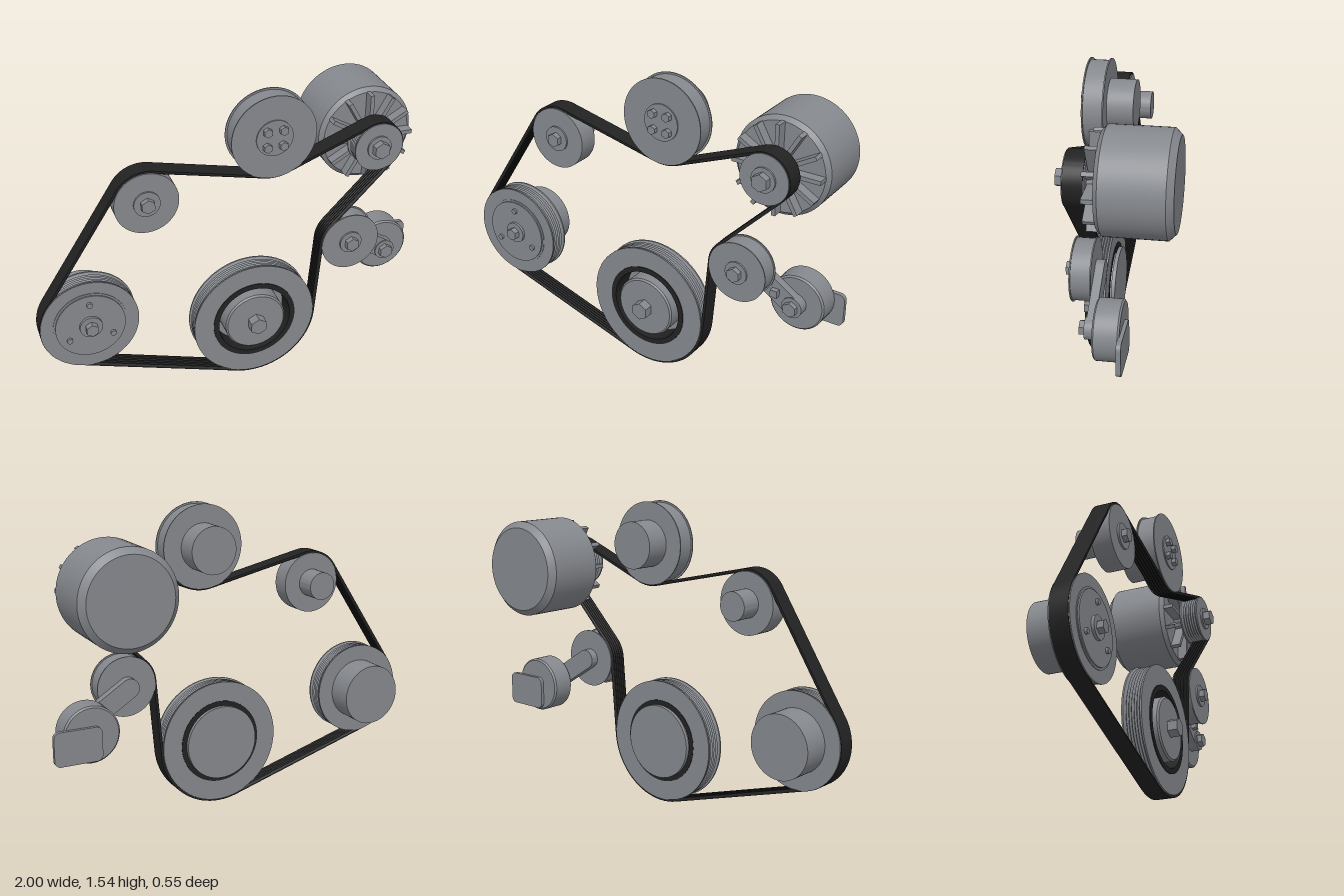
import * as THREE from 'three';
import { toCreasedNormals } from 'three/addons/utils/BufferGeometryUtils.js';

const metal = new THREE.MeshStandardMaterial({ color: 0x85888d });
metal.name = 'grey metal';
const rubber = new THREE.MeshStandardMaterial({ color: 0x222222 });
rubber.name = 'black rubber';

const BACK = 0.109, FRONT = 0.208; // depth range of every pulley

function addMesh(parent, name, geometry, material = metal) {
  const mesh = new THREE.Mesh(geometry, material);
  mesh.name = name;
  parent.add(mesh);
  return mesh;
}

// Turned part around the z axis; profile is [radius, z] from back to front
function turned(parent, name, profile, material = metal) {
  const g = new THREE.LatheGeometry(profile.map(p => new THREE.Vector2(p[0], p[1])), 64);
  g.rotateX(Math.PI / 2);
  return addMesh(parent, name, toCreasedNormals(g, 0.4), material);
}

// Solid disc or shaft with optional chamfers at its two ends
function disc(parent, name, r, z0, z1, back = 0, front = 0) {
  const p = [[0, z0], [r - back, z0]];
  if (back) p.push([r, z0 + back]);
  if (front) p.push([r, z1 - front]);
  p.push([r - front, z1], [0, z1]);
  return turned(parent, name, p);
}

function hexBolt(parent, name, r, z0, z1, x = 0, y = 0) {
  const g = new THREE.CylinderGeometry(r, r, z1 - z0, 6).toNonIndexed();
  g.computeVertexNormals();
  g.rotateX(Math.PI / 2);
  return addMesh(parent, name, g).position.set(x, y, (z0 + z1) / 2);
}

// Rim with six V grooves, as profile points
function groovedRim(r) {
  const p = [[r, BACK], [r, BACK + 0.008]];
  const z0 = BACK + 0.01, step = (FRONT - BACK - 0.02) / 6;
  for (let i = 0; i < 6; i++) {
    p.push([r - 0.004, z0 + i * step], [r - 0.016, z0 + (i + 0.5) * step]);
  }
  p.push([r - 0.004, z0 + 6 * step], [r, FRONT - 0.008], [r, FRONT]);
  return p;
}

// Flat drum between two thin flanges, as profile points
function flangedRim(r, depth) {
  const d = r - depth;
  return [[r, BACK], [r, BACK + 0.006], [d, BACK + 0.006], [d, FRONT - 0.006], [r, FRONT - 0.006], [r, FRONT]];
}

function pulley(parent, rim) {
  return turned(parent, 'pulley', [[0, BACK], ...rim, [0, FRONT]]);
}

function station(parent, name, x, y) {
  const g = new THREE.Group();
  g.name = name;
  g.position.set(x, y, 0);
  parent.add(g);
  return g;
}

// Belt: tangent lines and arcs around signed radii (negative = belt runs on its back)
function beltGeometry(stops) {
  const n = stops.length;
  const heading = stops.map((a, i) => {
    const b = stops[(i + 1) % n];
    const dx = b.x - a.x, dy = b.y - a.y;
    return Math.atan2(dy, dx) - Math.asin((a.r - b.r) / Math.hypot(dx, dy));
  });
  const path = [];
  stops.forEach((s, i) => {
    const from = heading[(i + n - 1) % n];
    let turn = (heading[i] - from) % (2 * Math.PI);
    if (s.r > 0 && turn > 0) turn -= 2 * Math.PI;
    if (s.r < 0 && turn < 0) turn += 2 * Math.PI;
    const steps = Math.max(3, Math.ceil(Math.abs(turn) / 0.08));
    for (let k = 0; k <= steps; k++) {
      const a = from + turn * k / steps;
      const nx = -Math.sin(a), ny = Math.cos(a);
      path.push({ x: s.x + nx * s.r, y: s.y + ny * s.r, nx, ny });
    }
  });
  // Cross-section: flat back, six ribs on the inner face
  const z0 = 0.114, z1 = 0.203, w = (z1 - z0) / 6;
  const section = [[0, z0], [0, z1]];
  for (let i = 0; i < 6; i++) {
    const z = z1 - i * w;
    section.push([-0.008, z], [-0.016, z - w * 0.35], [-0.016, z - w * 0.65]);
  }
  section.push([-0.008, z0]);
  const m = section.length, pos = [], index = [];
  path.forEach((p, i) => {
    const next = (i + 1) % path.length;
    section.forEach(([o, z], k) => {
      pos.push(p.x + p.nx * o, p.y + p.ny * o, z);
      const k1 = (k + 1) % m;
      const a = i * m + k, b = i * m + k1, c = next * m + k1, d = next * m + k;
      index.push(a, b, c, a, c, d);
    });
  });
  const g = new THREE.BufferGeometry();
  g.setAttribute('position', new THREE.Float32BufferAttribute(pos, 3));
  g.setIndex(index);
  return toCreasedNormals(g, 0.4);
}

export function createModel() {
  const model = new THREE.Group();
  model.name = 'beltDrive';

  // Crankshaft damper: grooved ring, rubber liner, separate hub
  const crank = station(model, 'crankDamper', 0.067, 0.326);
  turned(crank, 'damperRing', [[0.212, BACK], ...groovedRim(0.313), [0.212, FRONT], [0.212, BACK]]);
  turned(crank, 'rubberRing', [[0.187, 0.107], [0.214, 0.107], [0.214, 0.212], [0.187, 0.212], [0.187, 0.107]], rubber);
  disc(crank, 'hubPlate', 0.19, 0.083, 0.102);
  disc(crank, 'hub', 0.155, 0.1, 0.228, 0, 0.008);
  hexBolt(crank, 'hubBolt', 0.045, 0.225, 0.277);

  // Compressor with clutch plate
  const comp = station(model, 'compressor', -0.76, 0.49);
  pulley(comp, groovedRim(0.238));
  disc(comp, 'compressorBody', 0.157, -0.03, 0.112);
  disc(comp, 'clutchRim', 0.179, 0.2, 0.211);
  disc(comp, 'clutchPlate', 0.169, 0.2, 0.218);
  disc(comp, 'clutchHub', 0.055, 0.21, 0.232);
  hexBolt(comp, 'clutchBolt', 0.032, 0.23, 0.262);
  for (let i = 0; i < 3; i++) {
    const a = Math.PI / 2 + i * Math.PI * 2 / 3;
    disc(comp, 'clutchRivet', 0.014, 0.215, 0.23).position.set(0.122 * Math.cos(a), 0.122 * Math.sin(a), 0);
  }

  // Idler
  const idler = station(model, 'idler', -0.46, 1.1);
  pulley(idler, [[0.153, BACK], [0.153, FRONT]]);
  disc(idler, 'idlerMount', 0.07, 0, 0.112);
  disc(idler, 'idlerWasher', 0.063, 0.2, 0.217);
  hexBolt(idler, 'idlerBolt', 0.035, 0.215, 0.243);

  // Water pump with four bolts
  const pump = station(model, 'waterPump', 0.152, 1.334);
  pulley(pump, flangedRim(0.208, 0.009));
  disc(pump, 'pumpBody', 0.117, -0.013, 0.112);
  disc(pump, 'pumpHub', 0.09, 0.2, 0.214);
  for (const x of [-1, 1]) for (const y of [-1, 1]) hexBolt(pump, 'pumpBolt', 0.022, 0.21, 0.236, x * 0.039, y * 0.039);

  // Alternator with radial fan blades
  const alt = station(model, 'alternator', 0.685, 1.195);
  disc(alt, 'alternatorBody', 0.24, -0.277, 0.055, 0.03, 0.02);
  for (let i = 0; i < 12; i++) {
    const blade = new THREE.BoxGeometry(0.17, 0.02, 0.055);
    blade.translate(0.137, 0, 0.078);
    blade.rotateZ(i * Math.PI / 6);
    addMesh(alt, 'fanBlade', blade);
  }
  disc(alt, 'alternatorShaft', 0.07, 0.05, 0.112);
  pulley(alt, groovedRim(0.122));
  disc(alt, 'alternatorWasher', 0.06, 0.2, 0.217);
  hexBolt(alt, 'alternatorNut', 0.042, 0.215, 0.252);

  // Tensioner: pulley, arm, spring housing and mounting plate
  const tens = station(model, 'tensioner', 0.567, 0.687);
  pulley(tens, flangedRim(0.15, 0.007));
  disc(tens, 'tensionerWasher', 0.057, 0.2, 0.217);
  hexBolt(tens, 'tensionerBolt', 0.035, 0.215, 0.245);
  const px = 0.243, py = -0.155, angle = Math.atan2(py, px), length = Math.hypot(px, py);
  disc(tens, 'armEnd', 0.05, 0.068, 0.112);
  const arm = new THREE.BoxGeometry(length, 0.1, 0.04);
  arm.translate(length / 2, 0, 0.088);
  arm.rotateZ(angle);
  addMesh(tens, 'arm', arm);
  addMesh(tens, 'armLug', new THREE.BoxGeometry(0.036, 0.036, 0.03)).position.set(0.157, -0.1, 0.12);

  const housing = station(model, 'tensionerHousing', 0.567 + px, 0.687 + py);
  disc(housing, 'springHousing', 0.14, -0.055, 0.065, 0.008, 0.008);
  disc(housing, 'pivotHub', 0.052, 0.06, 0.115);
  hexBolt(housing, 'pivotBolt', 0.036, 0.11, 0.14);
  const x0 = -0.045, x1 = 0.19, y0 = -0.125, y1 = 0.043, c = 0.03;
  const plate = new THREE.Shape();
  plate.absarc(x1 - c, y1 - c, c, 0, Math.PI / 2);
  plate.absarc(x0 + c, y1 - c, c, Math.PI / 2, Math.PI);
  plate.absarc(x0 + c, y0 + c, c, Math.PI, Math.PI * 1.5);
  plate.absarc(x1 - c, y0 + c, c, Math.PI * 1.5, Math.PI * 2);
  const plateGeo = new THREE.ExtrudeGeometry(plate, { depth: 0.022, bevelEnabled: false });
  addMesh(housing, 'mountingPlate', plateGeo).position.z = -0.072;

  // Ribbed belt, clockwise seen from the front
  addMesh(model, 'belt', beltGeometry([
    { x: -0.76, y: 0.49, r: 0.241 },
    { x: -0.46, y: 1.1, r: 0.164 },
    { x: 0.152, y: 1.334, r: -0.199 },
    { x: 0.685, y: 1.195, r: 0.128 },
    { x: 0.567, y: 0.687, r: -0.143 },
    { x: 0.067, y: 0.326, r: 0.325 },
  ]), rubber);

  return model;
}
